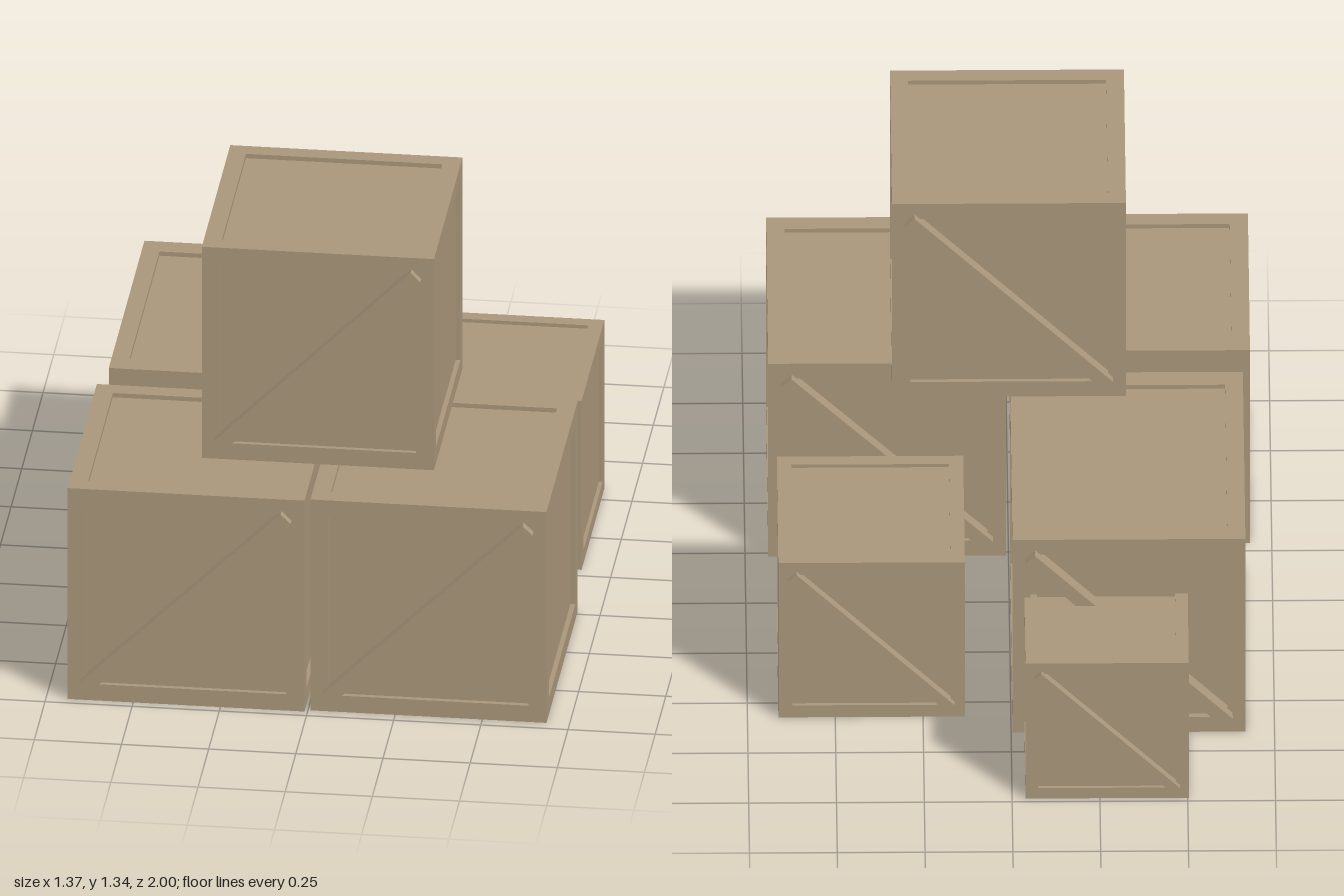
import * as THREE from 'three';

const wood = new THREE.MeshStandardMaterial({ color: 0xaa977b });
wood.name = 'crate wood';

const BEAM = 0.077;   // frame beam thickness, as a share of the crate
const RECESS = 0.02;  // how far the panels sit behind the frame
const PROUD = 0.035;  // how far the braces stand out

function addBox(parent, name, size, position) {
  const mesh = new THREE.Mesh(new THREE.BoxGeometry(...size), wood);
  mesh.name = name;
  mesh.position.set(...position);
  parent.add(mesh);
  return mesh;
}

// Unit crate standing on y = 0: core panels, twelve frame beams, two diagonal braces
function createCrate(name) {
  const crate = new THREE.Group();
  crate.name = name;

  const core = 1 - 2 * RECESS;
  addBox(crate, 'panels', [core, core, core], [0, 0.5, 0]);

  const e = 0.5 - BEAM / 2;
  const span = 1 - 2 * BEAM;
  for (const a of [-e, e]) {
    for (const b of [-e, e]) {
      addBox(crate, 'cornerPost', [BEAM, 1, BEAM], [a, 0.5, b]);
      addBox(crate, 'crossRail', [span, BEAM, BEAM], [0, 0.5 + a, b]);
      addBox(crate, 'sideRail', [BEAM, BEAM, span], [a, 0.5 + b, 0]);
    }
  }

  // Braces rise towards +x on both the front and the back
  for (const side of [1, -1]) {
    const brace = addBox(crate, side > 0 ? 'frontBrace' : 'backBrace',
      [1.2, 0.06, 2 * PROUD], [0, 0.5, side * 0.5]);
    brace.rotation.z = Math.PI / 4;
  }
  return crate;
}

export function createModel() {
  const model = new THREE.Group();
  model.name = 'crateStack';

  // name, x range, bottom and top, z range
  const crates = [
    ['frontRightCrate', -0.688, -0.009, 0, 0.667, 0.29, 0.974],
    ['frontLeftCrate', 0.007, 0.684, 0, 0.667, 0.233, 0.964],
    ['backRightCrate', -0.667, -0.004, 0, 0.667, -0.654, 0.182],
    ['topCrate', -0.333, 0.333, 0.667, 1.335, 0.064, 0.732],
    ['mediumCrate', 0.131, 0.662, 0, 0.534, -0.572, -0.039],
    ['smallCrate', -0.503, -0.038, 0, 0.467, -0.984, -0.517],
  ];
  for (const [name, x0, x1, y0, y1, z0, z1] of crates) {
    const crate = createCrate(name);
    crate.scale.set(x1 - x0, y1 - y0, z1 - z0);
    crate.position.set((x0 + x1) / 2, y0, (z0 + z1) / 2);
    model.add(crate);
  }
  return model;
}
